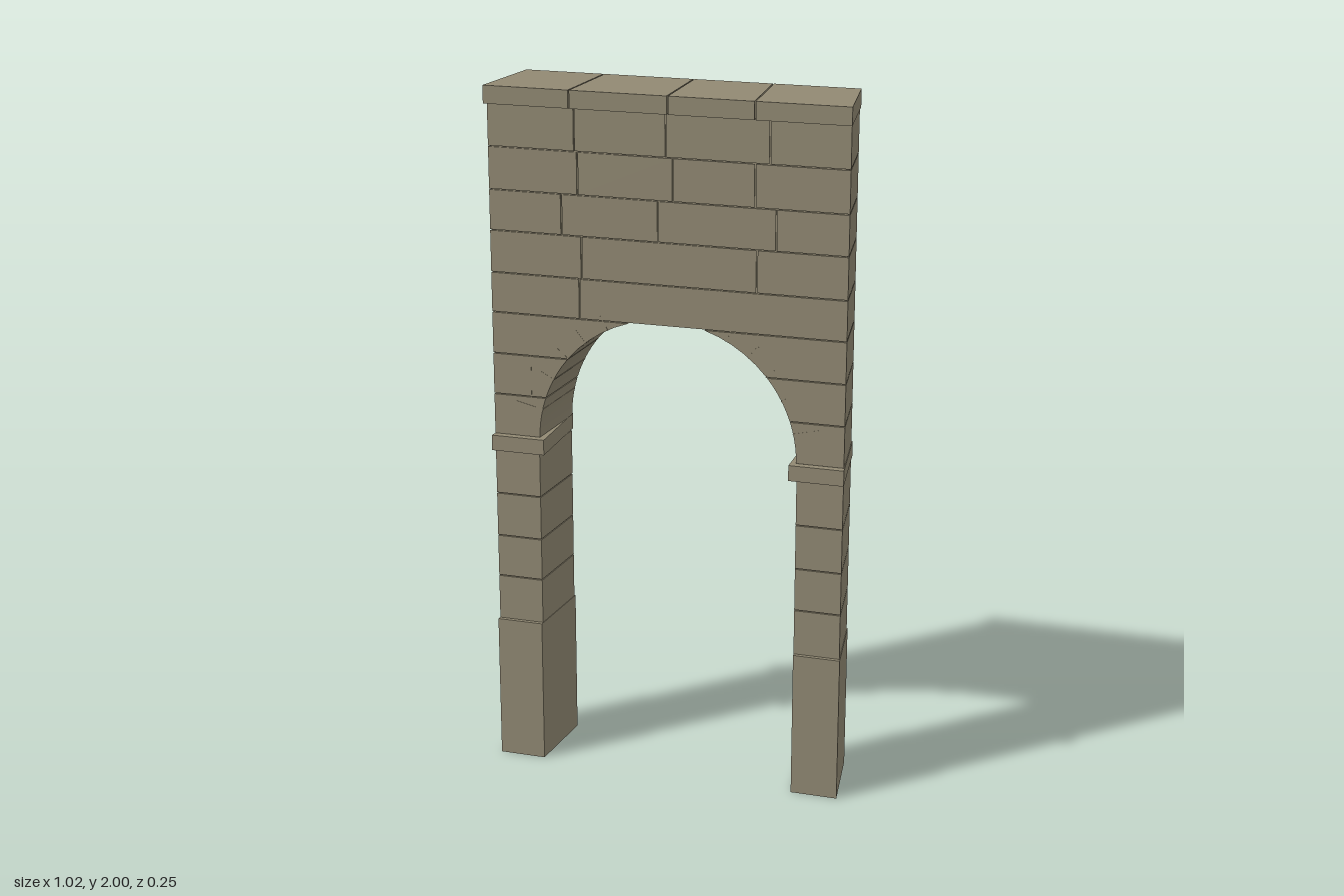
import * as THREE from 'three';

const HALF = 0.51;       // half width of the wall at its front
const DEPTH = 0.107;     // half thickness of the wall
const INNER = 0.377;     // half width of the opening
const R = 0.375;         // arch radius
const SPRING = 1.0;      // height where the arch begins
const CROWN = 1.36;      // flat top of the arch
const GAP = 0.0015;      // half of a level joint between stones
const CUT = 0.002;       // half of an upright joint

const stone = new THREE.MeshStandardMaterial({ color: 0x918973, side: THREE.DoubleSide });
stone.name = 'stone';

// Narrow everything towards the back
function taper(geo, fixed = () => false) {
  const p = geo.attributes.position;
  for (let i = 0; i < p.count; i++) {
    const x = p.getX(i);
    if (!fixed(x)) p.setX(i, x * (1 - 0.066 * (0.125 - p.getZ(i)) / 0.25));
  }
  geo.computeVertexNormals();
  return geo;
}

function addMesh(group, geo, name) {
  const m = new THREE.Mesh(geo, stone);
  m.name = name;
  group.add(m);
}

function boxGeo(x0, x1, y0, y1, d) {
  return new THREE.BoxGeometry(x1 - x0, y1 - y0, 2 * d).translate((x0 + x1) / 2, (y0 + y1) / 2, 0);
}

function slab(points, d) {
  const geo = new THREE.ExtrudeGeometry(new THREE.Shape(points), { depth: 2 * d, bevelEnabled: false });
  return taper(geo.translate(0, 0, -d));
}

// Points on the arch between two angles, on the side given by s
function arc(r, a0, a1, n, s = 1) {
  return Array.from({ length: n + 1 }, (_, i) => {
    const a = a0 + (a1 - a0) * i / n;
    return new THREE.Vector2(s * r * Math.cos(a), SPRING + r * Math.sin(a));
  });
}

// A course of stones cut at the given upright joints
function course(group, name, y0, y1, cuts, half, d) {
  const xs = [-half, ...cuts, half];
  for (let i = 0; i < xs.length - 1; i++) {
    const x0 = xs[i] + (i ? CUT : 0);
    const x1 = xs[i + 1] - (i < xs.length - 2 ? CUT : 0);
    addMesh(group, taper(boxGeo(x0, x1, y0, y1, d)), name);
  }
}

// Recessed body behind the joints
function buildCore(group) {
  const r = R + 0.004, top = CROWN + 0.004;
  const a = Math.asin((top - SPRING) / r);
  const x = HALF - 0.004, inner = INNER + 0.004;
  const pts = [[-x, 0.44], [-x, 1.994], [x, 1.994], [x, 0.44], [inner, 0.44]].map(p => new THREE.Vector2(...p));
  pts.push(...arc(r, 0, a, 14), ...arc(r, a, 0, 14, -1), new THREE.Vector2(-inner, 0.44));
  addMesh(group, slab(pts, DEPTH - 0.004), 'core');
}

function buildPier(s) {
  const pier = new THREE.Group();
  pier.name = s > 0 ? 'leftPier' : 'rightPier';
  const span = (a, b) => (s > 0 ? [a, b] : [-b, -a]);

  // Hollow plinth, open underneath
  const plinth = taper(boxGeo(...span(INNER, 0.512), 0, 0.43, 0.115));
  const index = Array.from(plinth.index.array);
  const bottom = plinth.groups[3];
  index.splice(bottom.start, bottom.count);
  plinth.setIndex(index);
  plinth.clearGroups();
  addMesh(pier, plinth, 'plinth');

  // Shaft stones
  const levels = [0.43, 0.565, 0.69, 0.82, 0.955];
  for (let i = 0; i < 4; i++) {
    addMesh(pier, taper(boxGeo(...span(INNER, HALF), levels[i] + GAP, levels[i + 1] - GAP, DEPTH)), 'shaftStone');
  }

  // Impost ledge with a straight inner side
  const impost = taper(boxGeo(...span(0.356, 0.512), 0.955, SPRING, 0.125), x => Math.abs(x) < 0.36);
  addMesh(pier, impost, 'impost');

  // Stones beside the arch
  const heights = [1.0, 1.12, 1.24, CROWN];
  for (let i = 0; i < 3; i++) {
    const y0 = heights[i] + GAP, y1 = heights[i + 1] - GAP;
    const a0 = Math.asin((y0 - SPRING) / R), a1 = Math.asin((y1 - SPRING) / R);
    const pts = [new THREE.Vector2(s * HALF, y1), new THREE.Vector2(s * HALF, y0), ...arc(R, a0, a1, 5, s)];
    addMesh(pier, slab(pts, DEPTH), 'archStone');
  }

  // Radial joints of the arch
  for (const deg of [13, 28, 40, 51, 63]) {
    const len = deg === 13 ? 0.08 : 0.045;
    const geo = new THREE.BoxGeometry(len, 0.004, 2 * DEPTH + 0.001);
    geo.translate(R - 0.001 + len / 2, 0, 0).rotateZ(deg * Math.PI / 180).translate(0, SPRING, 0);
    if (s < 0) geo.rotateY(Math.PI);
    addMesh(pier, taper(geo), 'archJoint');
  }
  return pier;
}

export function createModel() {
  const model = new THREE.Group();
  model.name = 'stoneArch';
  buildCore(model);
  model.add(buildPier(1), buildPier(-1));

  // Wall courses above the arch
  const wall = new THREE.Group();
  wall.name = 'upperWall';
  const rows = [
    [CROWN, 1.475, [-0.25]],
    [1.475, 1.595, [-0.243, 0.257]],
    [1.595, 1.71, [-0.3, -0.022, 0.31]],
    [1.71, 1.83, [-0.252, 0.02, 0.25]],
    [1.83, 1.95, [-0.26, 0, 0.29]],
  ];
  for (const [y0, y1, cuts] of rows) course(wall, 'wallStone', y0 + GAP, y1 - GAP, cuts, HALF, DEPTH);

  // Short upright joints
  for (const [x, y0, y1] of [[0.152, 1.43, 1.475], [-0.399, 1.12, 1.24]]) {
    addMesh(wall, taper(boxGeo(x - 0.002, x + 0.002, y0, y1, DEPTH + 0.0005)), 'shortJoint');
  }
  model.add(wall);

  // Coping on top
  const coping = new THREE.Group();
  coping.name = 'coping';
  course(coping, 'copingStone', 1.95, 2, [-0.267, 0.01, 0.251], 0.512, 0.125);
  model.add(coping);
  return model;
}
